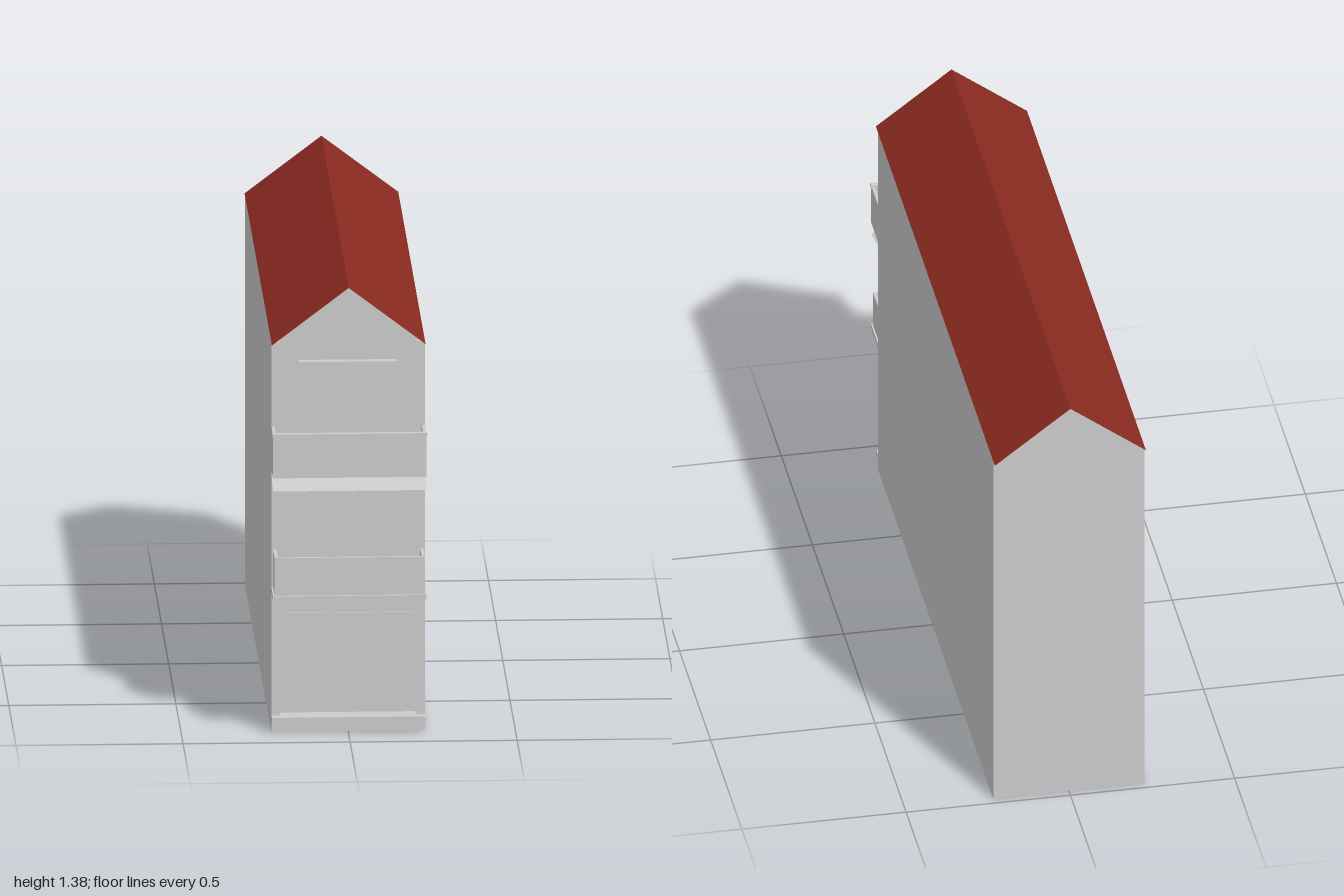
import * as THREE from 'three';

const W = 0.23, EAVE = 1.2, RIDGE = 1.375, BACK = -0.975, FRONT = 0.868, FACADE = 0.845;

export function createModel() {
  const house = new THREE.Group();
  house.name = 'townhouse';
  const grey = new THREE.MeshStandardMaterial({ color: 0xcccccc, side: THREE.DoubleSide });
  const red = new THREE.MeshStandardMaterial({ color: 0x8a2a20, side: THREE.DoubleSide });

  const add = (name, geometry, material = grey, parent = house) => {
    const mesh = new THREE.Mesh(geometry, material);
    mesh.name = name;
    parent.add(mesh);
    return mesh;
  };
  // box given by its limits
  const box = (name, x0, x1, y0, y1, z0, z1, parent) => {
    const m = add(name, new THREE.BoxGeometry(x1 - x0, y1 - y0, z1 - z0), grey, parent);
    m.position.set((x0 + x1) / 2, (y0 + y1) / 2, (z0 + z1) / 2);
    return m;
  };
  // flat four-cornered sheet, corners counter-clockwise seen from outside
  const sheet = (name, corners, material, parent) => {
    const g = new THREE.BufferGeometry();
    g.setAttribute('position', new THREE.Float32BufferAttribute(corners.flat(), 3));
    g.setIndex([0, 1, 2, 0, 2, 3]);
    g.computeVertexNormals();
    return add(name, g, material, parent);
  };
  const gable = () => new THREE.Shape([
    new THREE.Vector2(-W, 0), new THREE.Vector2(W, 0), new THREE.Vector2(W, EAVE),
    new THREE.Vector2(0, RIDGE - 0.002), new THREE.Vector2(-W, EAVE),
  ]);

  // long side walls and back gable; the shell is open underneath
  sheet('leftWall', [[W, 0, FRONT], [W, 0, BACK], [W, EAVE, BACK], [W, EAVE, FRONT]], grey);
  sheet('rightWall', [[-W, 0, BACK], [-W, 0, FRONT], [-W, EAVE, FRONT], [-W, EAVE, BACK]], grey);
  const back = add('backWall', new THREE.ShapeGeometry(gable()));
  back.rotation.y = Math.PI;
  back.position.z = BACK;

  // roof slopes overhanging both gables
  const r0 = -1, r1 = 0.905;
  sheet('leftRoof', [[W, EAVE, r1], [W, EAVE, r0], [0, RIDGE, r0], [0, RIDGE, r1]], red);
  sheet('rightRoof', [[-W, EAVE, r0], [-W, EAVE, r1], [0, RIDGE, r1], [0, RIDGE, r0]], red);

  // front facade with recessed openings
  const openings = [
    { name: 'shopFront', x: 0.2, y0: 0.05, y1: 0.36 },
    { name: 'lowerWindow', x: 0.14, y0: 0.45, y1: 0.75 },
    { name: 'upperWindow', x: 0.14, y0: 0.82, y1: 1.125 },
  ];
  const front = gable();
  const depth = 0.02;
  for (const o of openings) {
    front.holes.push(new THREE.Path([
      new THREE.Vector2(-o.x, o.y0), new THREE.Vector2(-o.x, o.y1),
      new THREE.Vector2(o.x, o.y1), new THREE.Vector2(o.x, o.y0),
    ]));
    const z = FACADE - depth;
    sheet(o.name, [[-o.x, o.y0, z], [o.x, o.y0, z], [o.x, o.y1, z], [-o.x, o.y1, z]], grey);
  }
  const facade = add('facade', new THREE.ExtrudeGeometry(front, { depth, bevelEnabled: false }));
  facade.position.z = FACADE - depth;

  // corner posts, base and ground floor trim
  for (const s of [-1, 1]) {
    box('cornerPost', Math.min(s * 0.205, s * W), Math.max(s * 0.205, s * W), 0.05, EAVE, FACADE, FRONT);
  }
  box('base', -W, W, 0, 0.037, FACADE, 0.86);
  box('sill', -W, W, 0.037, 0.052, FACADE, 0.9);
  box('shopLintel', -0.2, 0.2, 0.355, 0.362, FACADE - depth, FACADE + 0.005);
  for (const y of [0.75, 1.125]) box('windowLintel', -0.147, 0.147, y, y + 0.015, FACADE, 0.873);

  // balconies: floor and three thin parapet panels
  const balcony = (name, w, y0, y1, z1) => {
    const g = new THREE.Group();
    g.name = name;
    house.add(g);
    const t = 0.01;
    box('parapetFront', -w, w, y0, y1, z1 - t, z1, g);
    box('parapetLeft', w - t, w, y0, y1, FACADE, z1 - t, g);
    box('parapetRight', -w, t - w, y0, y1, FACADE, z1 - t, g);
    return g;
  };
  const lower = balcony('lowerBalcony', 0.225, 0.445, 0.563, 0.978);
  box('floor', -W, W, 0.433, 0.447, FACADE, 0.986, lower);

  const upper = balcony('upperBalcony', W, 0.81, 0.942, 0.983);
  box('floor', -W + 0.01, W - 0.01, 0.81, 0.816, FACADE, 0.973, upper);
  box('rail', -0.232, 0.232, 0.938, 0.946, 0.97, 0.988, upper);

  // sloping canopy under the upper balcony
  sheet('canopy', [[-W, 0.77, 0.985], [W, 0.77, 0.985], [W, 0.8, FACADE], [-W, 0.8, FACADE]], grey, upper);

  return house;
}
